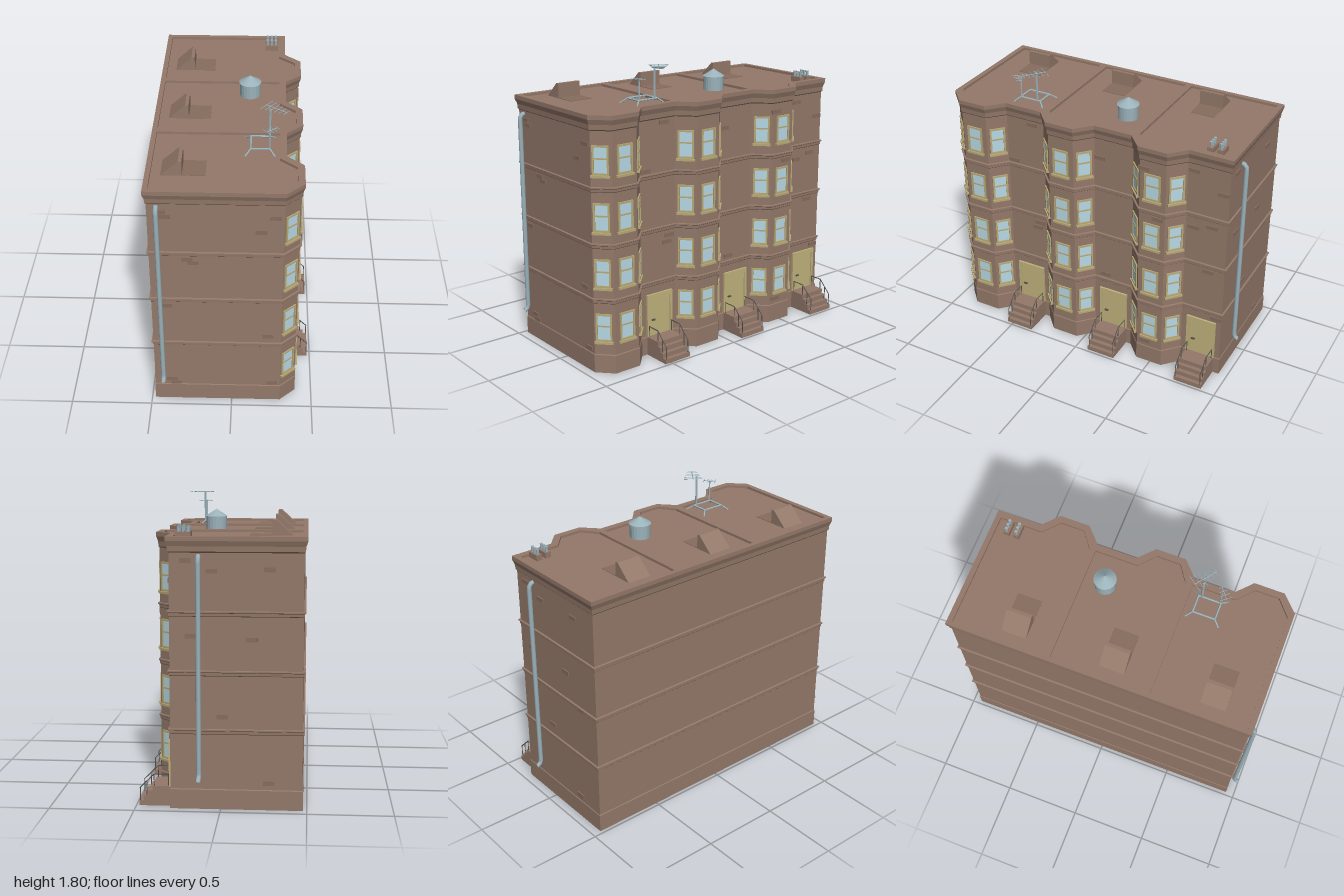
import * as THREE from 'three';

const mat = (color, side = THREE.DoubleSide) =>
  new THREE.MeshStandardMaterial({ color, side, flatShading: true });
const M = {
  stone: mat(0x94796a), brick: mat(0x876d5f), frame: mat(0xb9aa78), door: mat(0xc0b27c),
  glass: mat(0xb8dae6), metal: mat(0x9bb2ba), dark: mat(0x54504c),
};
const BAYS = [0.765, 0.137, -0.49]; // bay centres along z
const DOOR = -0.317;                // door centre relative to its bay
const WALL = 0.293, BAY = 0.393, BACK = -0.474, END = 0.94, ROOF = 1.57, RIM = 1.586;

function add(parent, name, geo, material, x = 0, y = 0, z = 0) {
  const m = new THREE.Mesh(geo, material);
  m.name = name;
  m.position.set(x, y, z);
  parent.add(m);
  return m;
}
const box = (p, name, m, w, h, d, x, y, z) => add(p, name, new THREE.BoxGeometry(w, h, d), m, x, y, z);

function rod(parent, name, a, b, r, material = M.metal) {
  const A = new THREE.Vector3(...a), B = new THREE.Vector3(...b), d = B.clone().sub(A);
  const m = add(parent, name, new THREE.CylinderGeometry(r, r, d.length(), 6), material);
  m.position.copy(A).add(B).multiplyScalar(0.5);
  m.quaternion.setFromUnitVectors(new THREE.Vector3(0, 1, 0), d.normalize());
  return m;
}

// Footprint as [x, -z], counter-clockwise, pushed outwards by o with mitred corners
function outline(o = 0) {
  const p = [[BACK, -END]];
  for (const c of BAYS) {
    p.push(c > 0.5 ? [0.3, -END] : [WALL, -(c + 0.18)]);
    p.push([BAY, -(c + 0.087)], [BAY, -(c - 0.087)], [WALL, -(c - 0.18)]);
  }
  p.push([WALL, END], [BACK, END]);
  const normal = (a, b) => {
    const dx = b[0] - a[0], dy = b[1] - a[1], l = Math.hypot(dx, dy);
    return [dy / l, -dx / l];
  };
  return p.map((q, i) => {
    const n = normal(p[(i + p.length - 1) % p.length], q), m = normal(q, p[(i + 1) % p.length]);
    const k = o / (1 + n[0] * m[0] + n[1] * m[1]);
    return new THREE.Vector2(q[0] + (n[0] + m[0]) * k, q[1] + (n[1] + m[1]) * k);
  });
}

// Wall skin swept round the footprint following a vertical profile of [offset, y]
function skin(profile) {
  const pos = [], rings = profile.map(([o, y]) => outline(o).map(v => [v.x, y, -v.y]));
  for (let j = 0; j + 1 < rings.length; j++) {
    const a = rings[j], b = rings[j + 1], n = a.length;
    for (let i = 0; i < n; i++) {
      const k = (i + 1) % n;
      pos.push(...a[i], ...a[k], ...b[k], ...a[i], ...b[k], ...b[i]);
    }
  }
  const g = new THREE.BufferGeometry();
  g.setAttribute('position', new THREE.Float32BufferAttribute(pos, 3));
  g.computeVertexNormals();
  return g;
}

function buildShell(root) {
  const profile = [[0.004, 0], [0.004, 0.115], [0, 0.12]];
  for (const y of [0.445, 0.787, 1.13]) profile.push([0, y], [0.004, y + 0.004], [0.005, y + 0.02], [0.011, y + 0.024], [0.011, y + 0.031], [0, y + 0.033]);
  profile.push([0, 1.493], [0.006, 1.5], [0.008, 1.53], [0.018, 1.56], [0.018, RIM]);
  add(root, 'walls', skin(profile), M.stone);

  // Parapet with one shallow recess per house, and the roof deck below it
  const rim = new THREE.Shape(outline(0.018));
  [[0.925, 0.327], [0.28, -0.3], [-0.34, -0.925]].forEach(([z1, z0], i) => {
    const c = BAYS[i];
    const pts = [[-0.462, z1], [0.27, z1], [0.27, Math.min(c + 0.16, z1 - 0.001)], [0.37, c + 0.075],
      [0.37, c - 0.075], [0.27, c - 0.165], [0.27, z0], [-0.462, z0]];
    rim.holes.push(new THREE.Path(pts.map(([x, z]) => new THREE.Vector2(x, -z))));
  });
  const parapet = new THREE.ExtrudeGeometry(rim, { depth: RIM - ROOF, bevelEnabled: false });
  add(root, 'parapet', parapet.rotateX(-Math.PI / 2), M.stone, 0, ROOF, 0);
  const deck = new THREE.ShapeGeometry(new THREE.Shape(outline(0.01)));
  add(root, 'roofDeck', deck.rotateX(-Math.PI / 2), M.stone, 0, ROOF, 0);
  for (const z of [0.305, -0.32])
    add(root, 'partyWall', new THREE.PlaneGeometry(WALL - BACK, ROOF), M.stone, (WALL + BACK) / 2, ROOF / 2, z);
}

// Sash window facing local +z, origin at its bottom centre
function sashWindow(w, h) {
  const g = new THREE.Group(), f = 0.012;
  g.name = 'window';
  add(g, 'glass', new THREE.PlaneGeometry(w, h), M.glass, 0, h / 2, 0.002);
  for (const s of [-1, 1]) box(g, 'jamb', M.frame, f, h, 0.01, s * (w - f) / 2, h / 2, 0.003);
  box(g, 'head', M.frame, w, f, 0.01, 0, h - f / 2, 0.003);
  box(g, 'meetingRail', M.frame, w - f, 0.009, 0.007, 0, h * 0.58, 0.003);
  box(g, 'bottomRail', M.frame, w, f, 0.01, 0, 0.018, 0.003);
  box(g, 'sill', M.frame, w + 0.016, 0.014, 0.022, 0, 0.004, 0.005);
  return g;
}

function buildWindows(root) {
  for (const c of BAYS) for (let floor = 0; floor < 4; floor++) for (const s of [-1, 0, 1]) {
    const w = sashWindow(s ? 0.1 : 0.108, 0.188);
    w.position.set(s ? (WALL + BAY) / 2 : BAY, 0.193 + floor * 0.343, c + s * 0.1335);
    w.rotation.y = s ? Math.atan2(0.093, s * 0.1) : Math.PI / 2;
    root.add(w);
  }
}

function buildEntrance(root, z) {
  const g = new THREE.Group();
  g.name = 'entrance';
  g.position.z = z;
  root.add(g);
  // Door with surround
  box(g, 'door', M.door, 0.008, 0.26, 0.16, WALL + 0.002, 0.25, 0);
  for (const s of [-1, 1]) box(g, 'doorJamb', M.door, 0.02, 0.275, 0.018, WALL + 0.004, 0.257, s * 0.089);
  box(g, 'doorHead', M.door, 0.02, 0.028, 0.196, WALL + 0.004, 0.381, 0);
  box(g, 'doorHandle', M.dark, 0.014, 0.008, 0.024, WALL + 0.01, 0.225, 0.05);
  // Stoop
  const p = [[0.28, 0], [0.483, 0], [0.483, 0.03], [0.457, 0.03], [0.457, 0.06], [0.43, 0.06],
    [0.43, 0.09], [0.405, 0.09], [0.405, 0.12], [0.28, 0.12]].map(q => new THREE.Vector2(...q));
  add(g, 'stoop', new THREE.ExtrudeGeometry(new THREE.Shape(p), { depth: 0.19, bevelEnabled: false }), M.stone, 0, 0, -0.095);
  // Railings
  for (const s of [-0.086, 0.086]) {
    rod(g, 'handrail', [WALL, 0.19, s], [0.395, 0.19, s], 0.003, M.dark);
    rod(g, 'handrail', [0.395, 0.19, s], [0.48, 0.105, s], 0.003, M.dark);
    for (const [x, y0, y1] of [[0.31, 0.12, 0.19], [0.395, 0.12, 0.19], [0.438, 0.06, 0.147], [0.478, 0.03, 0.107]])
      rod(g, 'railPost', [x, y0, s], [x, y1, s], 0.003, M.dark);
  }
}

// Downpipe on an end wall: out of the wall, down, and kicked out at the foot
function downpipe(root, x, s) {
  const path = new THREE.CurvePath(), v = (y, z) => new THREE.Vector3(x, y, s * z);
  path.add(new THREE.QuadraticBezierCurve3(v(1.475, 0.93), v(1.475, 0.967), v(1.44, 0.967)));
  path.add(new THREE.LineCurve3(v(1.44, 0.967), v(0.22, 0.967)));
  path.add(new THREE.QuadraticBezierCurve3(v(0.22, 0.967), v(0.19, 0.967), v(0.185, 0.993)));
  const m = add(root, 'downpipe', new THREE.TubeGeometry(path, 60, 0.0145, 10), M.metal.clone());
  m.material.flatShading = false;
}

function buildBricks(root) {
  const front = [[0.4, 1.47], [0.545, 1.185], [0.365, 0.755], [0.385, 0.715], [-0.08, 1.365], [-0.12, 0.51],
    [-0.72, 1.06], [-0.84, 1.09], [-0.83, 0.765], [-0.9, 1.335], [-0.9, 0.425], [-0.71, 1.45]];
  for (const [z, y] of front) box(root, 'brick', M.brick, 0.014, 0.026, 0.07, WALL, y, z);
  for (const [z, y] of [[-0.43, 1.44], [-0.525, 1.11], [-0.455, 0.16]]) box(root, 'brick', M.brick, 0.014, 0.026, 0.07, BAY, y, z);
  const left = [[-0.4, 1.44], [-0.375, 1.41], [0.17, 1.31], [0.25, 1.41], [-0.255, 1.11], [-0.22, 1.085],
    [-0.385, 0.76], [0.22, 0.53], [-0.37, 0.165], [-0.345, 0.135], [0.25, 0.145]];
  for (const [x, y] of left) box(root, 'brick', M.brick, 0.065, 0.026, 0.014, x, y, END);
  const right = [[-0.28, 1.4], [0.05, 1.39], [0.2, 1.45], [0.17, 1.02], [-0.18, 1], [-0.32, 0.8], [-0.01, 0.55], [-0.28, 0.16]];
  for (const [x, y] of right) box(root, 'brick', M.brick, 0.065, 0.026, 0.014, x, y, -END);
}

// Aerial: boom through a centre, with cross elements
function aerial(root, cx, y, cz, angle, length, widths) {
  const g = new THREE.Group();
  g.name = 'aerial';
  g.position.set(cx, y, cz);
  g.rotation.y = angle;
  root.add(g);
  rod(g, 'boom', [-length / 2, 0, 0], [length / 2, 0, 0], 0.003);
  widths.forEach((w, i) => {
    const x = length * (i / (widths.length - 1) - 0.5) * 0.95;
    rod(g, 'element', [x, 0, -w / 2], [x, 0, w / 2], 0.002);
  });
}

function buildRoofItems(root) {
  // Wedge-shaped stair hoods and their landings
  const p = [[-0.405, ROOF], [-0.283, ROOF], [-0.283, 1.662], [-0.304, 1.662]].map(q => new THREE.Vector2(...q));
  for (const z of [0.692, 0.065, -0.555]) {
    add(root, 'stairHood', new THREE.ExtrudeGeometry(new THREE.Shape(p), { depth: 0.156, bevelEnabled: false }), M.stone, 0, 0, z - 0.078);
    box(root, 'landing', M.brick, 0.133, 0.004, 0.156, -0.2165, ROOF + 0.001, z);
  }
  // Water tank
  add(root, 'waterTank', new THREE.CylinderGeometry(0.064, 0.064, 0.09, 20), M.metal, 0.085, ROOF + 0.045, -0.165);
  add(root, 'tankLid', new THREE.ConeGeometry(0.07, 0.045, 20), M.metal, 0.085, 1.6825, -0.165);
  // Chimney stacks with three pots each
  for (const z of [-0.85, -0.787]) {
    box(root, 'chimneyStack', M.stone, 0.085, 0.035, 0.038, 0.22, ROOF + 0.0175, z);
    for (const x of [0.193, 0.22, 0.247])
      add(root, 'chimneyPot', new THREE.CylinderGeometry(0.01, 0.008, 0.036, 10), M.metal, x, 1.622, z);
  }
  // Aerial stand with splayed feet
  const y = 1.6, c = [[0.1, 0.385], [0.21, 0.385], [0.21, 0.525], [0.1, 0.525]];
  c.forEach(([x, z], i) => {
    const [nx, nz] = c[(i + 1) % 4];
    rod(root, 'standRail', [x, y, z], [nx, y, nz], 0.006);
    rod(root, 'standFoot', [x, y, z], [x + Math.sign(x - 0.155) * 0.032, ROOF, z + Math.sign(z - 0.455) * 0.035], 0.005);
  });
  rod(root, 'mast', [0.21, y, 0.405], [0.21, 1.796, 0.405], 0.007);
  rod(root, 'shortMast', [0.21, y, 0.52], [0.21, 1.732, 0.52], 0.005);
  aerial(root, 0.245, 1.796, 0.4, -0.65, 0.15, [0.12, 0.11, 0.1, 0.085, 0.07, 0.055]);
  aerial(root, 0.222, 1.732, 0.53, 0.7, 0.08, [0.07, 0.06, 0.05, 0.04]);
}

export function createModel() {
  const root = new THREE.Group();
  root.name = 'terraceBlock';
  buildShell(root);
  buildWindows(root);
  for (const c of BAYS) buildEntrance(root, c + DOOR);
  downpipe(root, -0.42, 1);
  downpipe(root, 0.125, -1);
  buildBricks(root);
  buildRoofItems(root);
  return root;
}
